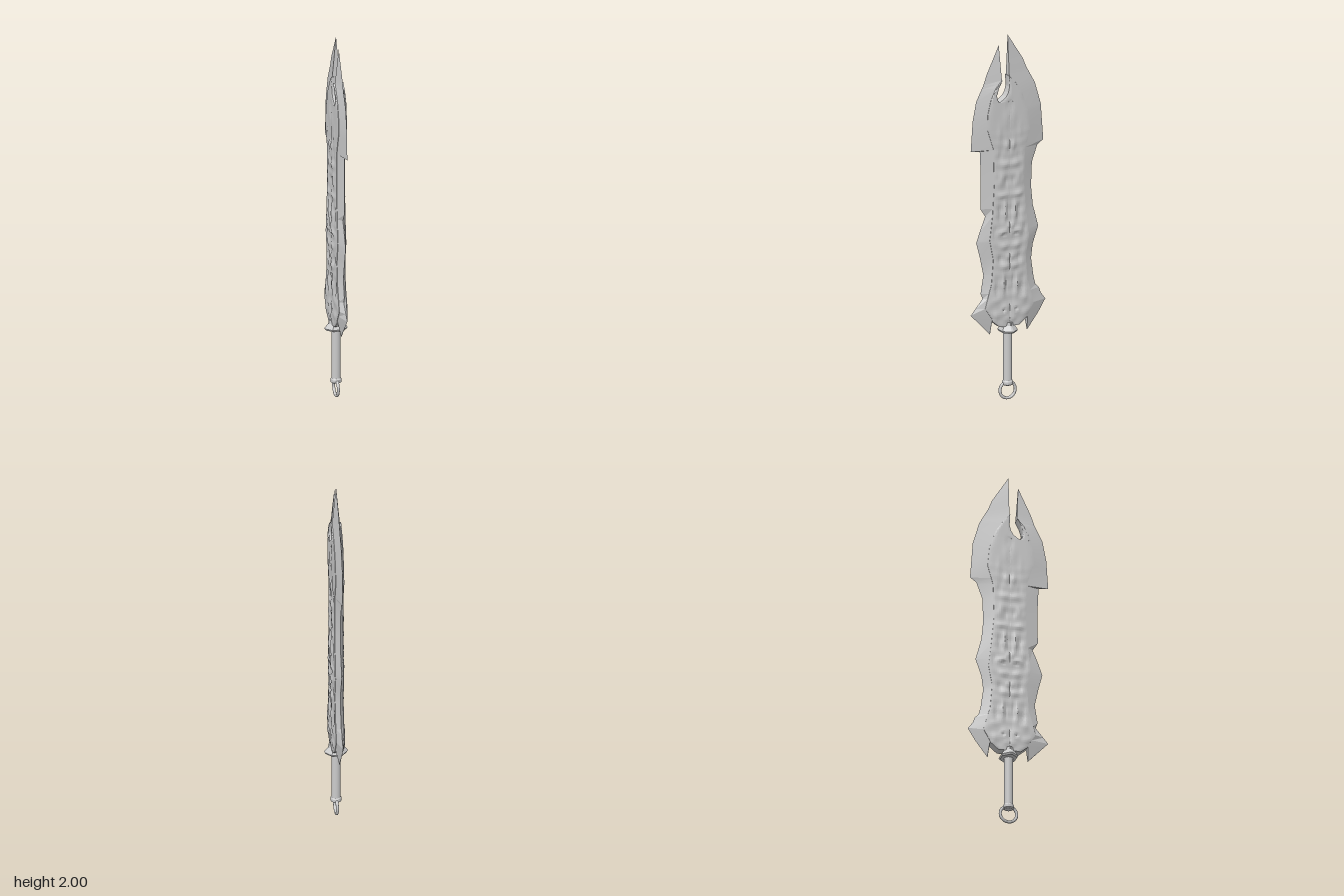
import * as THREE from 'three';
import { toCreasedNormals } from 'three/addons/utils/BufferGeometryUtils.js';

const material = new THREE.MeshStandardMaterial({ color: 0xcccccc });

// Outlines as [height, z], rising; +z half first, then -z half.
const outerFront = [[.37, .106], [.487, .217], [.57, .148], [.6, .159], [.7, .143], [.8, .164], [.88, .185],
  [.94, .164], [1.02, .132], [1.063, .16], [1.26, .159], [1.38, .164], [1.385, .217], [1.55, .206],
  [1.656, .185], [1.74, .143], [1.8, .122], [1.947, .053]];
const innerFront = [[.37, .105], [.455, .1], [.52, .143], [.65, .106], [.78, .095], [.89, .116], [1.02, .1],
  [1.18, .09], [1.39, .095], [1.5, .13], [1.58, .128], [1.656, .11], [1.72, .08], [1.76, .042], [1.947, .052]];
const outerBack = [[.37, -.116], [.455, -.18], [.524, -.222], [.56, -.195], [.59, -.185], [.61, -.164],
  [.65, -.153], [.757, -.138], [.836, -.148], [.93, -.18], [1.05, -.148], [1.153, -.138], [1.285, -.143],
  [1.375, -.175], [1.4, -.21], [1.6, -.195], [1.72, -.16], [1.81, -.11], [1.86, -.09], [2, -.001]];
const innerBack = [[.37, -.114], [.455, -.106], [.52, -.143], [.65, -.106], [.78, -.095], [.89, -.115],
  [1.02, -.1], [1.18, -.085], [1.365, -.09], [1.47, -.12], [1.577, -.11], [1.68, -.074], [1.74, -.035], [1.78, 0], [2, 0]];
// Two sides of the teardrop notch
const notchFront = [[1.64, .06], [1.66, .071], [1.68, .074], [1.72, .062], [1.76, .043]];
const notchBack = [[1.64, .06], [1.65, .042], [1.667, .02], [1.69, .007], [1.72, 0], [1.78, .003]];

function at(table, y) {
  if (y <= table[0][0]) return table[0][1];
  for (let i = 1; i < table.length; i++) {
    const [y0, z0] = table[i - 1], [y1, z1] = table[i];
    if (y <= y1) return z0 + (z1 - z0) * (y - y0) / (y1 - y0);
  }
  return table[table.length - 1][1];
}

// Joins rings of [x, y, z] (counter-clockwise from above, rising) and closes both ends.
function loft(rings, crease) {
  const n = rings[0].length, index = [];
  for (let j = 0; j < rings.length - 1; j++) {
    for (let i = 0; i < n; i++) {
      const a = j * n + i, b = j * n + (i + 1) % n;
      index.push(a, b, b + n, a, b + n, a + n);
    }
  }
  const top = (rings.length - 1) * n;
  for (let i = 1; i < n - 1; i++) index.push(0, i + 1, i, top, top + i, top + i + 1);
  const g = new THREE.BufferGeometry();
  g.setAttribute('position', new THREE.Float32BufferAttribute(rings.flat(2), 3));
  g.setIndex(index);
  return toCreasedNormals(g, crease);
}

// Wedge-shaped cutting edge between an outer and an inner outline
function cuttingEdge(outer, inner) {
  const tip = outer[outer.length - 1][0];
  const heights = [...new Set([...outer, ...inner, [1.74, 0]].map(p => p[0]))].sort((a, b) => a - b);
  return loft(heights.map(y => {
    const t = .021 * Math.min(1, (tip - y) / .23 + .01, (y - .36) / .08);
    const o = at(outer, y), i = at(inner, y);
    return o > i ? [[0, y, o], [t, y, i], [-t, y, i]] : [[t, y, i], [0, y, o], [-t, y, i]];
  }), .2);
}

// Carved relief, mirrored about the centre line: [y, z, spread y, spread z, height]
const carving = [
  [.5, .035, .028, .024, .012], [.5, .036, .01, .009, -.013], [.45, .02, .02, .022, .008], [.47, .085, .03, .02, .008],
  [.56, .08, .02, .035, .008], [.64, .04, .05, .01, .011], [.64, .016, .045, .009, -.008], [.62, .075, .05, .012, -.007],
  [.74, .03, .02, .025, .009], [.79, .012, .02, .012, .007], [.78, .055, .025, .014, -.007], [.85, .035, .02, .026, .009],
  [.93, .04, .02, .026, .013], [.915, .036, .01, .015, -.009], [.96, .012, .02, .01, .008], [.93, .088, .03, .014, -.006],
  [1.04, .028, .05, .01, .012], [1.05, .01, .05, .008, -.007], [1.04, .056, .045, .012, -.008], [1.13, .045, .016, .03, .008],
  [1.2, .018, .03, .014, -.008], [1.22, .05, .03, .016, .009], [1.3, .025, .022, .025, .008], [1.35, .055, .03, .014, -.006],
  [1.4, .02, .03, .014, .008], [1.47, .06, .05, .014, .004], [1.55, .02, .05, .02, .004], [1.62, .012, .03, .01, -.003]];
function relief(y, z) {
  const u = Math.abs(z);
  const calm = THREE.MathUtils.smoothstep(y, 1.35, 1.55);
  let h = .004 + (1 - calm) * .0015 * Math.sin(43 * y + 50 * u) * Math.sin(71 * y - 65 * u);
  for (const [cy, cz, sy, sz, amount] of carving) {
    h += amount * .8 * Math.exp(-(((y - cy) / sy) ** 2) - ((u - cz) / sz) ** 2);
  }
  if (y < 1.65) h -= .003 * Math.exp(-((z / .005) ** 2));
  return Math.max(-.006, Math.min(.013, h));
}

// Raised central slab between two outlines
function core(low, high, y0, y1, rows, columns) {
  const rings = [];
  for (let j = 0; j <= rows; j++) {
    const y = y0 + (y1 - y0) * j / rows;
    const limit = .06 + (y - .41) * 1.2;
    const a = Math.max(at(low, y), -limit), b = Math.min(at(high, y), limit);
    const side = [];
    for (let i = 0; i <= columns; i++) {
      const s = i / columns, z = b + (a - b) * s;
      const fade = 1 - Math.abs(2 * s - 1) ** 8;
      side.push([.0235 + relief(y, z) * fade, y, z]);
    }
    rings.push([...side, ...side.slice().reverse().map(([x, h, z]) => [-x, h, z])]);
  }
  return loft(rings, .8);
}

export function createModel() {
  const model = new THREE.Group();
  const add = (name, geometry, y = 0, parent = model) => {
    const mesh = new THREE.Mesh(geometry, material);
    mesh.name = name;
    mesh.position.y = y;
    parent.add(mesh);
    return mesh;
  };

  // Blade
  const blade = new THREE.Group();
  blade.name = 'blade';
  model.add(blade);
  add('frontCuttingEdge', cuttingEdge(outerFront, innerFront), 0, blade);
  add('backCuttingEdge', cuttingEdge(outerBack, innerBack), 0, blade);
  add('carvedCore', core(innerBack, innerFront, .41, 1.64, 240, 56), 0, blade);
  add('frontCoreShoulder', core(notchFront, innerFront, 1.64, 1.76, 24, 10), 0, blade);
  add('backCoreShoulder', core(innerBack, notchBack, 1.64, 1.78, 28, 20), 0, blade);

  // Guard: pointed plate narrowing upward
  const plate = [[.062, .006], [.062, -.006], [.03, -.045], [-.03, -.045],
    [-.062, -.006], [-.062, .006], [-.03, .045], [.03, .045]];
  const guardRings = [[.375, .9], [.385, 1], [.412, .66], [.43, .62]]
    .map(([y, s]) => plate.map(([x, z]) => [x * s, y, z * s]));
  add('guard', loft(guardRings, .3));

  // Handle
  add('grip', new THREE.CylinderGeometry(.024, .024, .29, 24), .245);
  const collar = [[0, 0], [.022, 0], [.029, .005], [.029, .02], [.024, .028], [0, .028]]
    .map(([r, y]) => new THREE.Vector2(r, y));
  add('pommelCollar', toCreasedNormals(new THREE.LatheGeometry(collar, 24), .5), .08);
  add('pommelRing', new THREE.TorusGeometry(.045, .008, 12, 40), .053).rotation.y = Math.PI / 2;
  return model;
}
